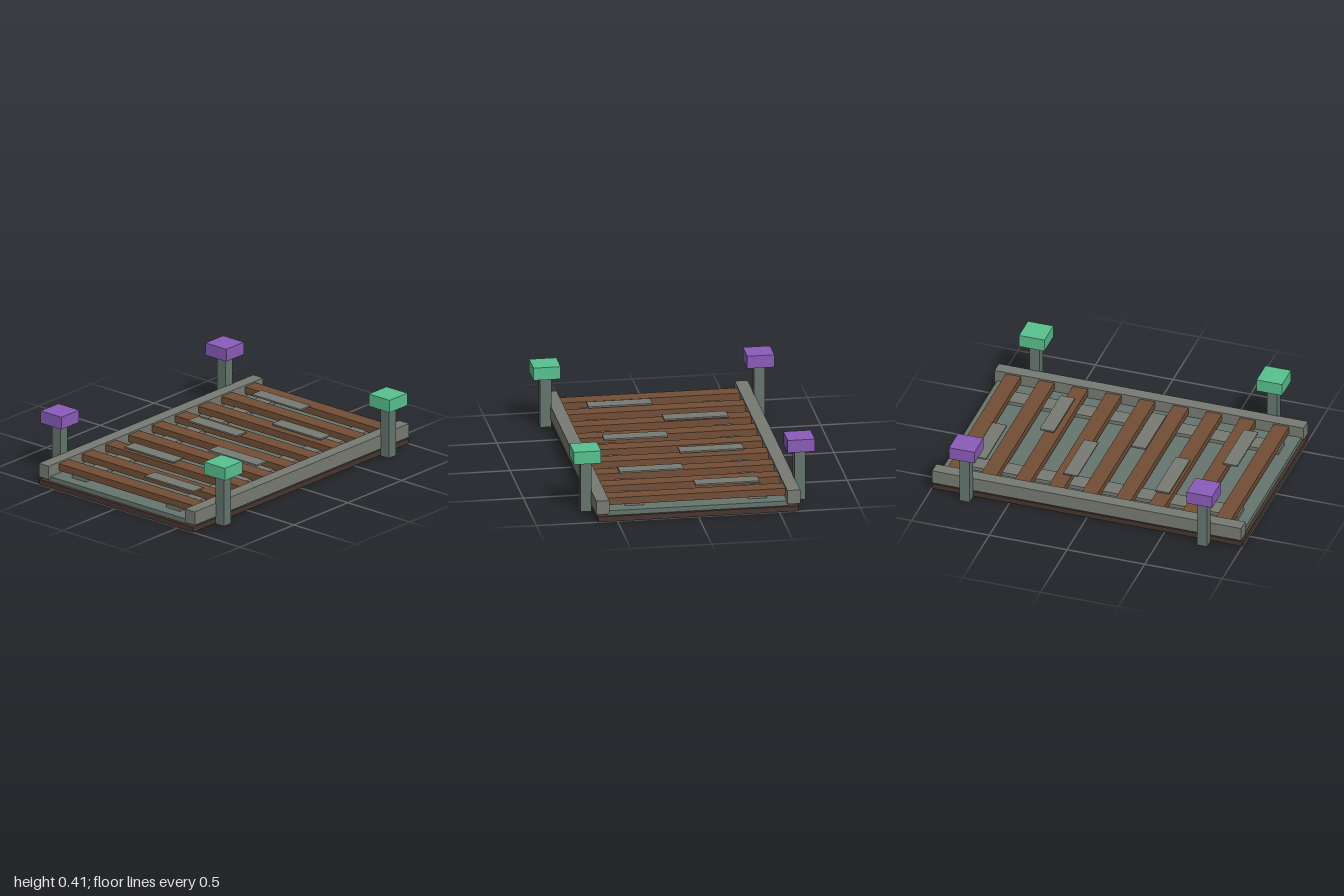
import * as THREE from 'three';

const mat = (color) => new THREE.MeshStandardMaterial({ color });

export function createModel() {
  const model = new THREE.Group();
  const dark = mat(0x46362f), teal = mat(0x65756e), stone = mat(0x777b72);
  const wood = mat(0x724e36), purple = mat(0x8a5cb8), green = mat(0x58c18f);

  // Box given by its extents along x, y and z
  const box = (name, material, [x0, x1], [y0, y1], [z0, z1]) => {
    const mesh = new THREE.Mesh(new THREE.BoxGeometry(x1 - x0, y1 - y0, z1 - z0), material);
    mesh.position.set((x0 + x1) / 2, (y0 + y1) / 2, (z0 + z1) / 2);
    mesh.name = name;
    model.add(mesh);
  };
  const around = (c, half) => [c - half, c + half];

  // Base slab and the deck on it
  box('base', dark, [-0.62, 0.62], [0, 0.033], [-1, 1]);
  box('deck', teal, [-0.56, 0.56], [0.033, 0.063], [-0.98, 0.98]);

  for (const side of [-1, 1]) {
    // Side rail and the runner under the slats
    box('sideRail', stone, around(side * 0.59, 0.04), [0.047, 0.135], [-0.995, 0.995]);
    box('runner', stone, around(side * 0.38, 0.057), [0.064, 0.086], [-0.91, 0.91]);

    // Corner posts with coloured caps
    for (const end of [-1, 1]) {
      const x = side * 0.66, z = end * 0.765;
      box('post', teal, around(x, 0.034), [0, 0.325], around(z, 0.033));
      box('postCap', side > 0 ? green : purple, around(x, 0.084), [0.325, 0.405], around(z, 0.082));
    }
  }

  // Wooden cross slats
  for (let i = 0; i < 9; i++) {
    box('slat', wood, [-0.55, 0.55], [0.08, 0.125], around(-0.875 + i * 0.2158, 0.049));
  }

  // Thin tread plates, alternating between the two sides
  for (let i = 0; i < 6; i++) {
    const x = i % 2 ? 0.21 : -0.21;
    box('treadPlate', stone, around(x, 0.197), [0.133, 0.143], around(-0.77 + i * 0.295, 0.046));
  }

  return model;
}
